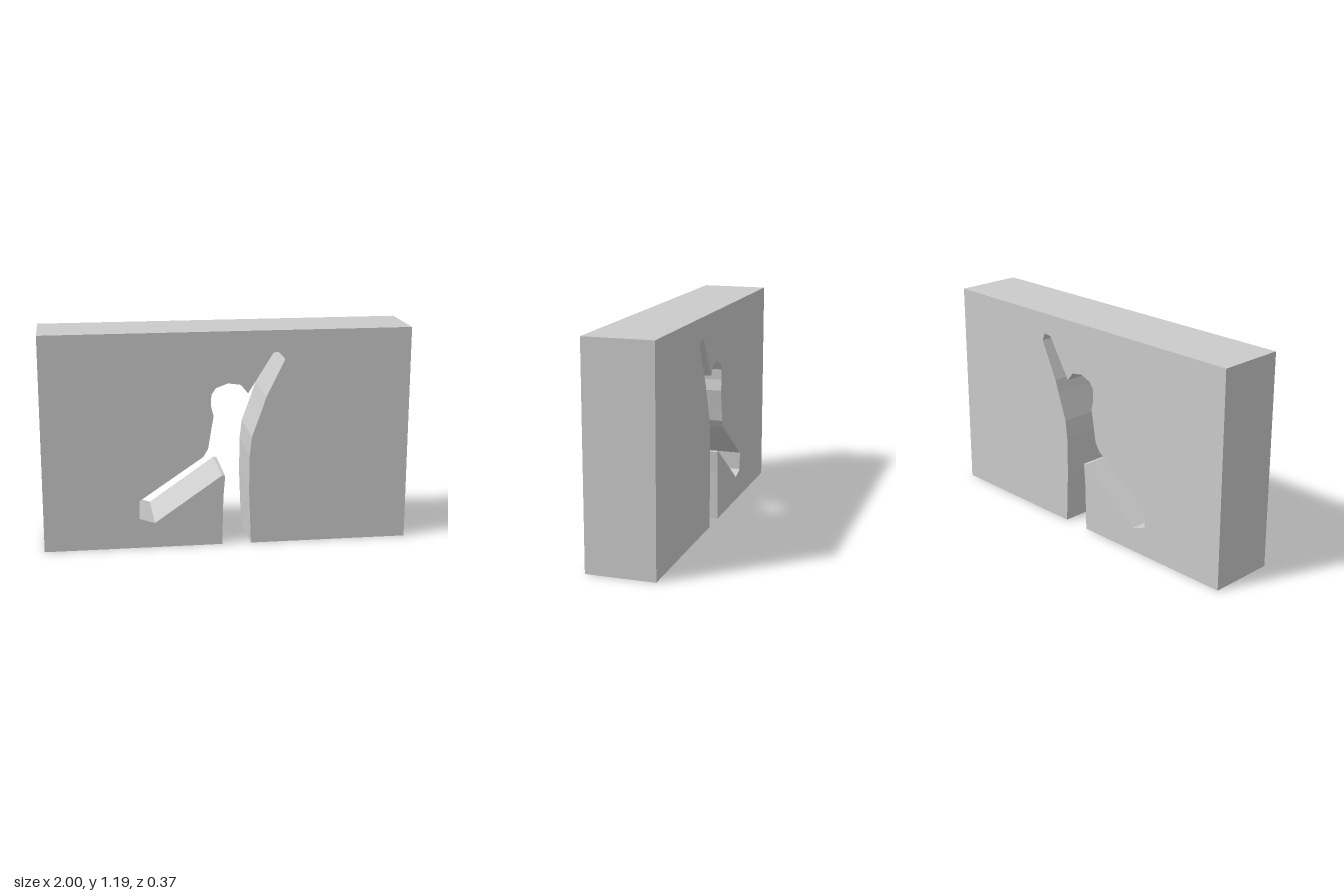
import * as THREE from 'three';

const WIDTH = 2, HEIGHT = 1.187, DEPTH = 0.374;

// Dancing-figure silhouette, from the foot's right edge around to its left edge
const FIGURE = [
  [-0.03, 0], [-0.024, 0.27], [-0.014, 0.392], [-0.032, 0.394], // standing leg, inner side
  [-0.4, 0.139], [-0.483, 0.166], [-0.483, 0.267], [-0.134, 0.503], // kicked-out leg
  [-0.107, 0.548], [-0.09, 0.652], [-0.077, 0.727], // torso
  [-0.091, 0.786], [-0.089, 0.845], [-0.064, 0.882], [0, 0.906], [0.07, 0.896], [0.109, 0.848], // head
  [0.246, 1.067], [0.291, 1.073], [0.31, 1.03], [0.209, 0.824], // raised arm
  [0.187, 0.757], [0.132, 0.606], [0.12, 0.5], [0.118, 0.3], [0.13, 0], // side and standing leg, outer side
];

export function createModel() {
  const group = new THREE.Group();
  group.name = 'wallWithFigureCutout';

  // The cutout opens at the floor, so wall and figure share one outline
  const outline = [
    [-WIDTH / 2, 0], ...FIGURE, [WIDTH / 2, 0], [WIDTH / 2, HEIGHT], [-WIDTH / 2, HEIGHT],
  ];
  const shape = new THREE.Shape(outline.map(([x, y]) => new THREE.Vector2(x, y)));
  const geometry = new THREE.ExtrudeGeometry(shape, { depth: DEPTH, bevelEnabled: false });
  geometry.translate(0, 0, -DEPTH / 2);

  const wall = new THREE.Mesh(
    geometry,
    new THREE.MeshStandardMaterial({ color: 0xcccccc, flatShading: true }),
  );
  wall.name = 'wall';
  group.add(wall);
  return group;
}
